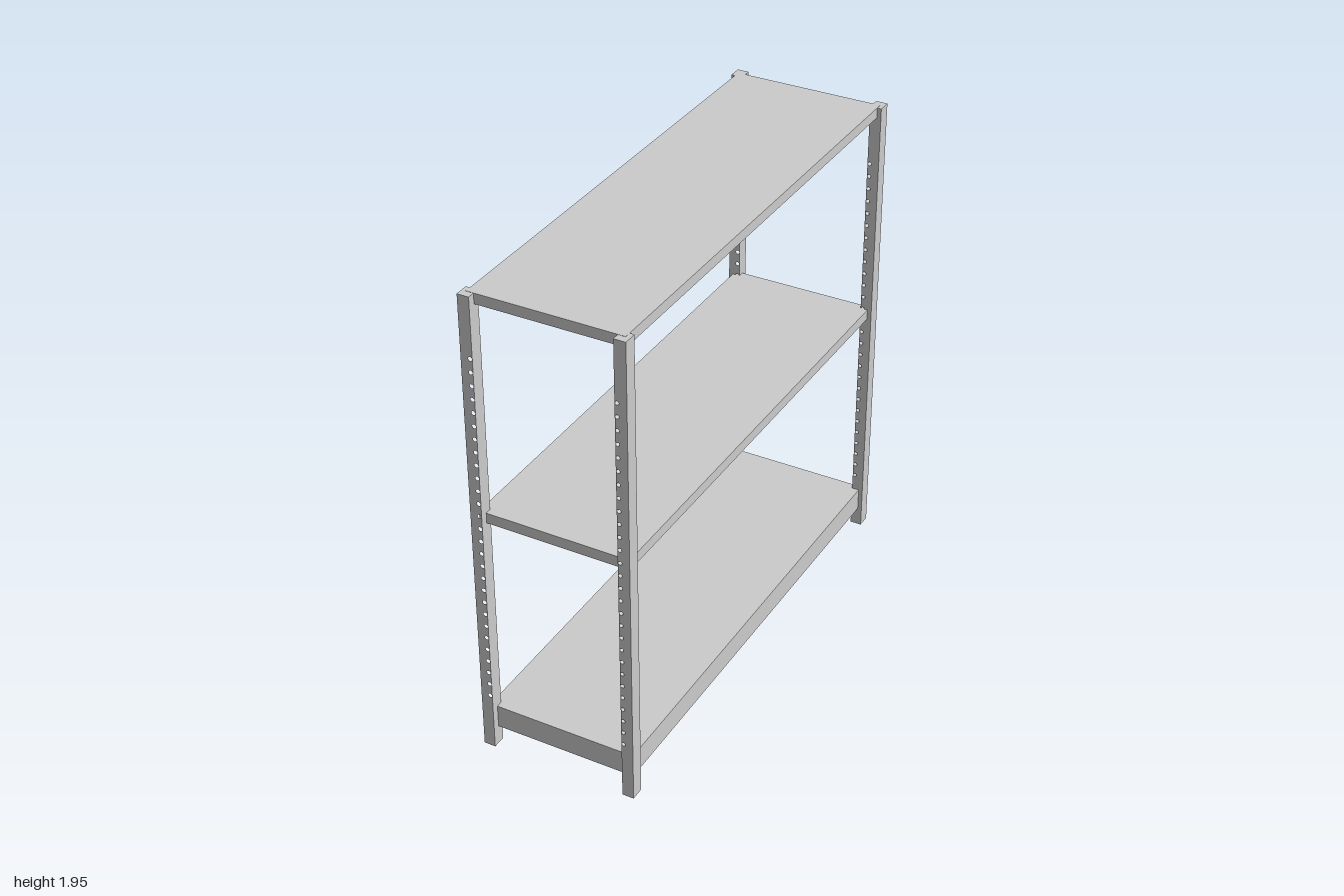
import * as THREE from 'three';

const POST = { inner: 0.275, outer: 0.322, depth: 0.055, height: 1.944 };
const HOLES = { count: 28, first: 0.244, pitch: 0.054, x: 0.284, radius: 0.008 };

// Upright with a row of adjustment holes running through it; side is +1 or -1
function postGeometry(side) {
  const a = side * POST.inner, b = side * POST.outer;
  const shape = new THREE.Shape([
    new THREE.Vector2(a, 0), new THREE.Vector2(b, 0),
    new THREE.Vector2(b, POST.height), new THREE.Vector2(a, POST.height),
  ]);
  for (let i = 0; i < HOLES.count; i++) {
    const y = HOLES.first + i * HOLES.pitch;
    shape.holes.push(new THREE.Path().absarc(side * HOLES.x, y, HOLES.radius, 0, Math.PI * 2, true));
  }
  return new THREE.ExtrudeGeometry(shape, { depth: POST.depth, bevelEnabled: false, curveSegments: 6 });
}

export function createModel() {
  const group = new THREE.Group();
  group.name = 'shelvingUnit';
  const material = new THREE.MeshStandardMaterial({ color: 0xcccccc });

  const add = (name, geometry, x, y, z) => {
    const mesh = new THREE.Mesh(geometry, material);
    mesh.name = name;
    mesh.position.set(x, y, z);
    group.add(mesh);
  };

  // Four corner posts
  for (const side of [1, -1]) {
    const geometry = postGeometry(side);
    const label = side > 0 ? 'Left' : 'Right';
    add(`front${label}Post`, geometry, 0, 0, 1 - POST.depth);
    add(`back${label}Post`, geometry, 0, 0, -1);
  }

  // Shelves, let into the posts: name, underside, top
  const shelves = [
    ['bottomShelf', 0.078, 0.174],
    ['middleShelf', 1.011, 1.054],
    ['topShelf', 1.903, 1.945],
  ];
  for (const [name, low, high] of shelves) {
    add(name, new THREE.BoxGeometry(0.61, high - low, 1.942), 0, (low + high) / 2, 0);
  }
  return group;
}
